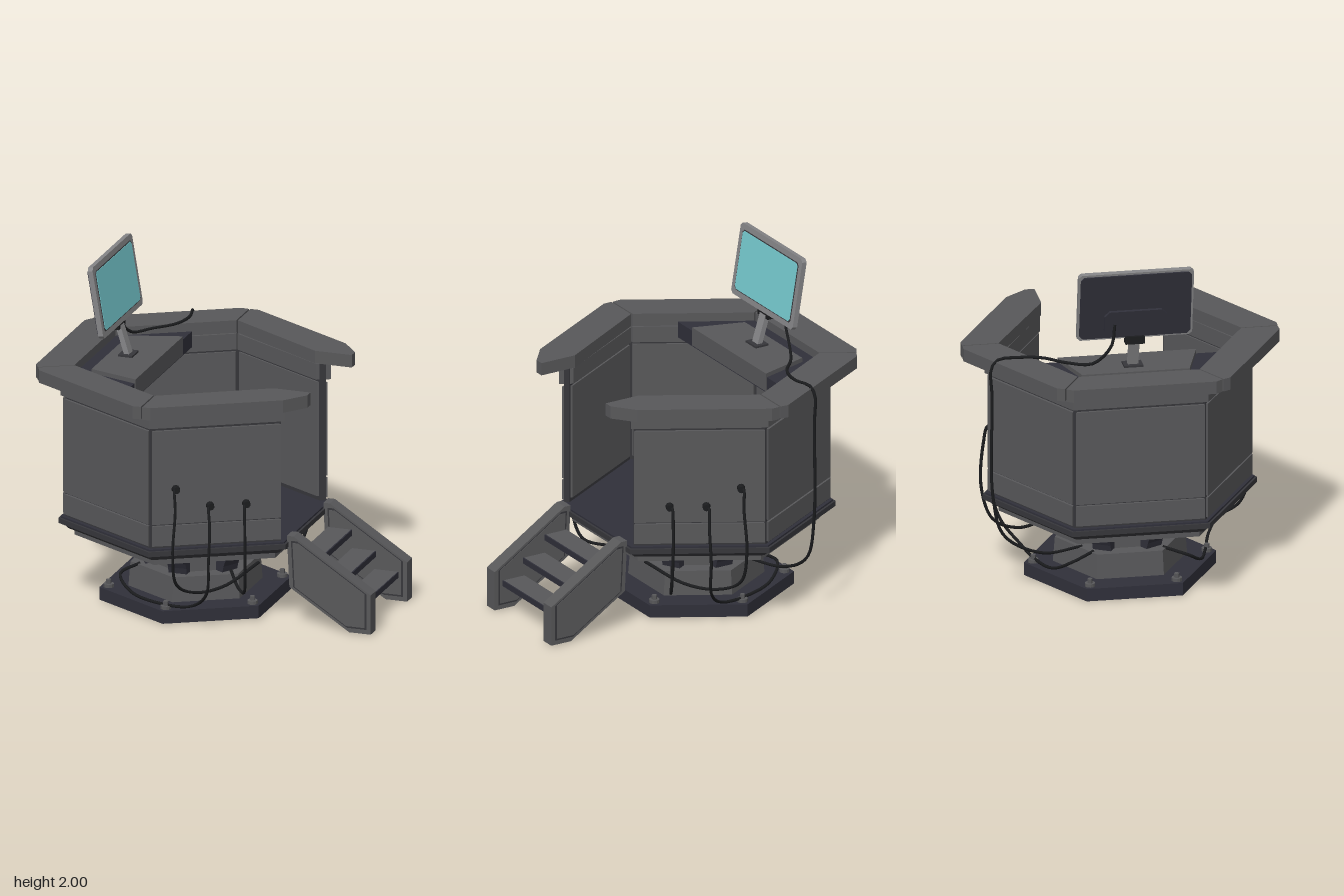
import * as THREE from 'three';

const CX = -0.185;                 // centre of the hexagonal booth
const T30 = Math.tan(Math.PI / 6), C30 = Math.cos(Math.PI / 6);
const mat = (name, color, flatShading = false) => {
  const m = new THREE.MeshStandardMaterial({ color, flatShading });
  m.name = name;
  return m;
};

export function createModel() {
  const gray = mat('panel gray', 0x58585a, true);
  const seam = mat('seam charcoal', 0x37373b, true);
  const dark = mat('dark blue gray', 0x30303a, true);
  const light = mat('monitor frame gray', 0x858587, true);
  const black = mat('cable black', 0x1b1c1e);
  const teal = mat('screen teal', 0x76cacf, true);
  const model = new THREE.Group();

  const add = (name, geo, m, parent = model) => {
    const mesh = new THREE.Mesh(geo, m);
    mesh.name = name;
    parent.add(mesh);
    return mesh;
  };
  const group = (name) => {
    const g = new THREE.Group();
    g.name = name;
    model.add(g);
    return g;
  };
  const shapeOf = (pts) => new THREE.Shape(pts.map(([x, y]) => new THREE.Vector2(x, y)));
  const extrude = (pts, depth) => new THREE.ExtrudeGeometry(shapeOf(pts), { depth, bevelEnabled: false });
  // horizontal slab from [x, z] corners
  const slab = (pts, y0, y1) =>
    extrude(pts.map(([x, z]) => [x, -z]), y1 - y0).rotateX(-Math.PI / 2).translate(0, y0, 0);
  const box = (w, h, d, x, y, z) => new THREE.BoxGeometry(w, h, d).translate(x, y, z);
  // hexagonal drum given by its top and bottom apothems
  const hex = (top, bottom, y0, y1) =>
    new THREE.CylinderGeometry(top / C30, bottom / C30, y1 - y0, 6).translate(CX, (y0 + y1) / 2, 0);
  // convert (distance outward, distance along side) to [x, z]
  const onSide = (deg, n, t) => {
    const a = THREE.MathUtils.degToRad(deg), c = Math.cos(a), s = Math.sin(a);
    return [CX + n * c - t * s, n * s + t * c];
  };
  // one mitred hexagon side between two apothems
  const sector = (deg, ai, ao, gap) => [
    [ai, gap - ai * T30], [ao, gap - ao * T30], [ao, ao * T30 - gap], [ai, ai * T30 - gap],
  ].map(([n, t]) => onSide(deg, n, t));

  // Foot plate and bolts
  const base = group('base');
  add('footPlate', hex(0.48, 0.48, 0, 0.075), dark, base);
  for (let i = 0; i < 6; i++) {
    const a = (i + 0.5) * Math.PI / 3, x = CX + 0.5 * Math.cos(a), z = 0.5 * Math.sin(a);
    add('boltWasher', new THREE.CylinderGeometry(0.03, 0.03, 0.02, 12).translate(x, 0.085, z), gray, base);
    add('bolt', new THREE.CylinderGeometry(0.015, 0.015, 0.04, 6).translate(x, 0.1, z), gray, base);
  }
  // Pedestal with curved gussets
  add('pedestalLower', hex(0.325, 0.335, 0.075, 0.22), gray, base);
  add('pedestalUpper', hex(0.24, 0.24, 0.22, 0.41), gray, base);
  const gusset = new THREE.Shape();
  gusset.moveTo(0.22, 0.22);
  gusset.lineTo(0.30, 0.22);
  gusset.quadraticCurveTo(0.33, 0.37, 0.51, 0.405);
  gusset.lineTo(0.22, 0.405);
  for (let i = 0; i < 6; i++) {
    const g = new THREE.ExtrudeGeometry(gusset, { depth: 0.11, bevelEnabled: false, curveSegments: 8 });
    g.translate(0, 0, -0.055).rotateY((i + 0.5) * Math.PI / 3).translate(CX, 0, 0);
    add('gusset', g, dark, base);
  }

  // Platform
  const platform = group('platform');
  add('platformUnderside', hex(0.605, 0.605, 0.4, 0.44), gray, platform);
  add('platformTaper', hex(0.665, 0.635, 0.44, 0.475), seam, platform);
  add('platformRim', hex(0.685, 0.685, 0.475, 0.505), seam, platform);
  add('floor', hex(0.672, 0.672, 0.505, 0.515), dark, platform);

  // Walls on five sides, the +x side is left open
  const walls = group('walls');
  for (const deg of [60, 120, 180, 240, 300]) {
    add('wallCore', slab(sector(deg, 0.622, 0.65, 0), 0.515, 1.34), seam, walls);
    add('wallPanel', slab(sector(deg, 0.65, 0.665, 0.012), 0.66, 1.22), gray, walls);
    add('kickPanel', slab(sector(deg, 0.65, 0.665, 0.012), 0.53, 0.65), gray, walls);
    add('upperTrim', slab(sector(deg, 0.65, 0.675, 0), 1.24, 1.34), gray, walls);
    add('innerPanel', slab(sector(deg, 0.612, 0.622, 0.012), 0.54, 1.225), gray, walls);
    add('innerTrim', slab(sector(deg, 0.605, 0.622, 0.005), 1.24, 1.335), gray, walls);
  }

  // Counter top with clipped corners
  const counter = group('counter');
  const AI = 0.605, AO = 0.815, L = AO * T30, R = 0.91, gap = 0.005;
  for (const deg of [120, 180, 240]) {
    const half = [[AI, AI * T30 - gap], [R * C30, R / 2 - gap], [AO, L - 0.06]];
    const pts = [...half, ...half.map(([n, t]) => [n, -t]).reverse()];
    add('counterSegment', slab(pts.map(([n, t]) => onSide(deg, n, t)), 1.34, 1.415), gray, counter);
  }
  for (const s of [1, -1]) {
    const pts = [[CX + gap, AI / C30], [CX + gap, R], [CX + 0.055, R], [0.53, 0.528],
      [0.632, 0.40], [0.632, 0.347], [0.41, 0.347]];
    add('counterEnd', slab(pts.map(([x, z]) => [x, z * s]), 1.34, 1.415), gray, counter);
  }

  // Desk
  const desk = group('desk');
  add('deskTray', slab([[-0.79, -0.35], [-0.41, -0.565], [-0.41, 0.565], [-0.79, 0.35]], 1.27, 1.365), dark, desk);
  add('deskPanel', slab([[-0.70, -0.31], [-0.403, -0.40], [-0.403, 0.40], [-0.70, 0.31]], 1.28, 1.39), gray, desk);

  // Monitor, facing +x and leaning back
  const monitor = group('monitor');
  const plate = (w, h, c, x0, x1) => {
    const a = w / 2, b = h / 2;
    return extrude([[-a + c, -b], [a - c, -b], [a, -b + c], [a, b - c], [a - c, b], [-a + c, b], [-a, b - c], [-a, -b + c]],
      x1 - x0).rotateY(Math.PI / 2).translate(x0, 0, 0);
  };
  const head = new THREE.Group();
  head.name = 'monitorHead';
  head.position.set(-0.672, 1.79, 0);
  head.rotation.z = 0.165;
  monitor.add(head);
  add('monitorFrame', plate(0.665, 0.425, 0.018, -0.012, 0.018), light, head);
  add('screenBorder', plate(0.6, 0.36, 0.015, 0.018, 0.02), seam, head);
  add('screen', plate(0.588, 0.348, 0.015, 0.02, 0.023), teal, head);
  add('monitorBack', plate(0.64, 0.4, 0.02, -0.02, -0.012), dark, head);
  add('monitorHump', plate(0.36, 0.15, 0.03, -0.038, -0.02).translate(0, -0.1, 0), dark, head);
  add('standPost', box(0.03, 0.22, 0.06, 0, 0, 0).rotateZ(0.3).translate(-0.617, 1.485, 0), light, monitor);
  add('standFoot', box(0.085, 0.012, 0.11, -0.59, 1.395, 0), seam, monitor);
  add('standBracket', box(0.05, 0.045, 0.11, -0.652, 1.57, 0), black, monitor);

  // Steps
  const steps = group('steps');
  const rail = [[0.49, 0.54], [0.53, 0.54], [0.995, 0.24], [0.995, 0.005], [0.865, 0.005], [0.505, 0.235]];
  const shrink = (k) => rail.map(([x, y]) => [0.745 + (x - 0.745) * k, 0.268 + (y - 0.268) * k]);
  for (const s of [1, -1]) {
    const at = (pts, z, d) => extrude(pts, d).translate(0, 0, s * z - d / 2);
    add('stepRail', at(rail, 0.306, 0.085), gray, steps);
    add('railSeam', at(shrink(0.9), 0.306, 0.09), seam, steps);
    add('railPanel', at(shrink(0.86), 0.306, 0.096), gray, steps);
  }
  [[0.59, 0.385], [0.735, 0.275], [0.87, 0.165]].forEach(([x, y]) => {
    add('tread', box(0.14, 0.03, 0.54, x, y, 0), gray, steps);
    add('treadNosing', box(0.008, 0.034, 0.53, x + 0.072, y - 0.002, 0), dark, steps);
  });

  // Cables and wall sockets
  const cables = group('cables');
  const tube = (name, pts) => add(name, new THREE.TubeGeometry(
    new THREE.CatmullRomCurve3(pts.map((p) => new THREE.Vector3(...p))), 60, 0.009, 6), black, cables);
  const runs = [
    [[-0.06, 0.87, 0.69], [-0.05, 0.87, 0.735], [-0.035, 0.76, 0.76], [-0.045, 0.5, 0.775], [-0.045, 0.3, 0.71],
      [0.02, 0.21, 0.55], [0.13, 0.21, 0.38], [0.25, 0.29, 0.15]],
    [[0.11, 0.76, 0.59], [0.12, 0.755, 0.635], [0.14, 0.65, 0.67], [0.14, 0.45, 0.69], [0.11, 0.24, 0.64],
      [-0.02, 0.12, 0.54], [-0.2, 0.095, 0.49], [-0.42, 0.12, 0.42], [-0.52, 0.19, 0.33], [-0.45, 0.22, 0.2]],
    [[0.29, 0.76, 0.485], [0.3, 0.755, 0.53], [0.31, 0.65, 0.555], [0.31, 0.4, 0.55], [0.28, 0.22, 0.48],
      [0.2, 0.2, 0.36], [0.1, 0.24, 0.2]],
  ];
  for (const s of [1, -1]) {
    for (const run of runs) {
      tube('wallCable', run.map(([x, y, z]) => [x, y, z * s]));
      const [x, y, z] = run[0];
      const socket = new THREE.CylinderGeometry(0.02, 0.024, 0.04, 10).rotateX(s * Math.PI / 2)
        .rotateY(s * Math.PI / 6).translate(x + 0.012, y, s * (z + 0.018));
      add('socket', socket, black, cables);
    }
  }
  tube('monitorCable', [[-0.69, 1.68, -0.12], [-0.69, 1.55, -0.14], [-0.66, 1.44, -0.24], [-0.58, 1.425, -0.38],
    [-0.48, 1.425, -0.5], [-0.45, 1.425, -0.64], [-0.475, 1.425, -0.76], [-0.485, 1.38, -0.795],
    [-0.485, 1.2, -0.79], [-0.485, 0.6, -0.785], [-0.48, 0.36, -0.72], [-0.45, 0.23, -0.5], [-0.36, 0.22, -0.25]]);

  return model;
}
